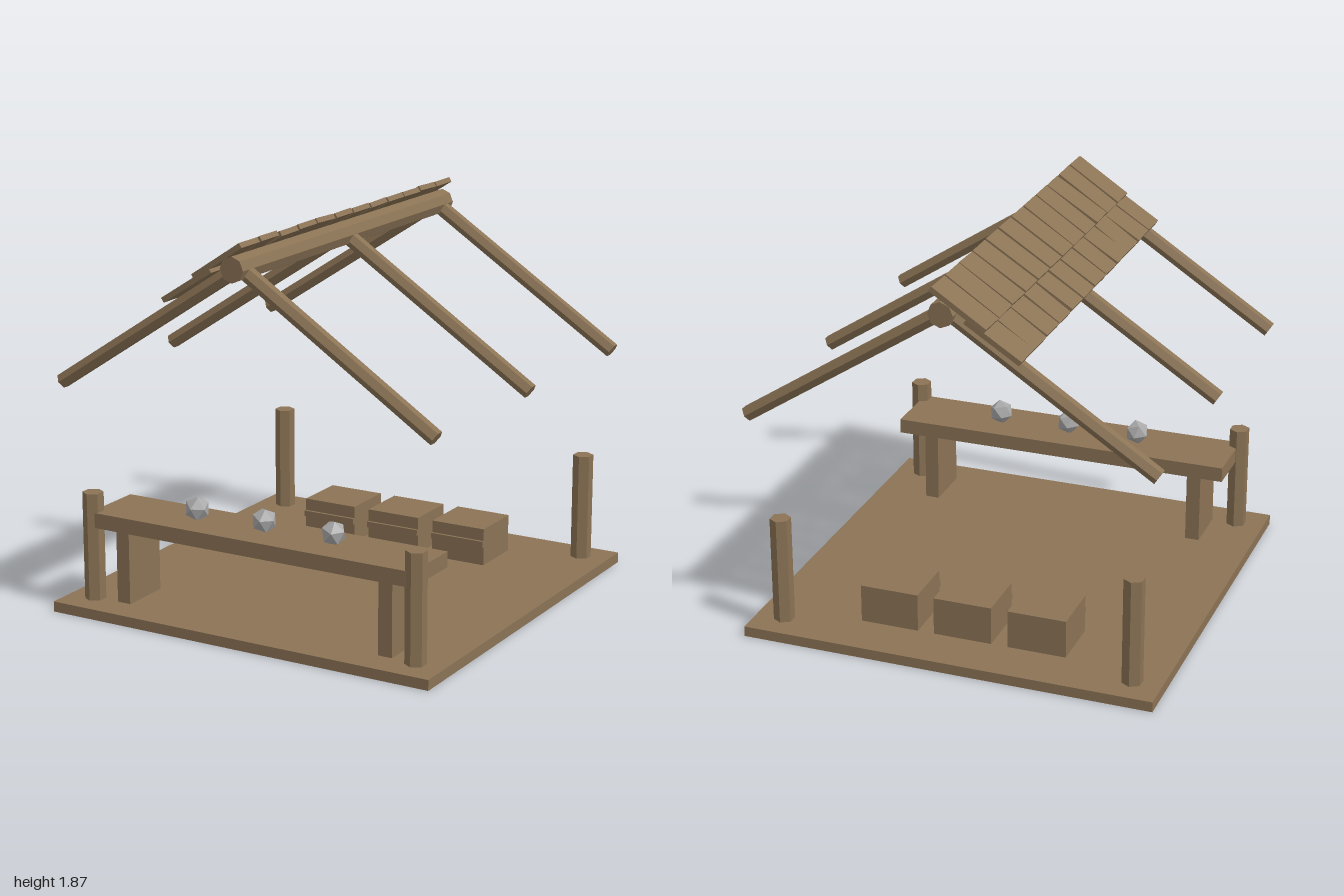
import * as THREE from 'three';

const wood = new THREE.MeshStandardMaterial({ color: 0x8b7355 });
wood.name = 'wood';
const stone = new THREE.MeshStandardMaterial({ color: 0xa9a9a9 });
stone.name = 'stone';

// Flat-shaded copy of a geometry
const facet = (g) => {
  const f = g.index ? g.toNonIndexed() : g;
  f.computeVertexNormals();
  return f;
};

function add(parent, name, geometry, x, y, z, material = wood) {
  const mesh = new THREE.Mesh(geometry, material);
  mesh.name = name;
  mesh.position.set(x, y, z);
  parent.add(mesh);
  return mesh;
}

// Repeatable jitter in -1..1
function makeJitter(seed) {
  return () => {
    seed = (seed * 16807) % 2147483647;
    return (seed / 2147483647) * 2 - 1;
  };
}

export function createModel() {
  const model = new THREE.Group();
  model.name = 'marketStall';

  // Floor and corner posts
  add(model, 'floor', new THREE.BoxGeometry(2, 0.05, 2), 0, 0.025, 0);
  const postGeo = facet(new THREE.CylinderGeometry(0.05, 0.05, 0.524, 6));
  for (const x of [-0.86, 0.86])
    for (const z of [-0.857, 0.857]) add(model, 'cornerPost', postGeo, x, 0.312, z);

  // Counter on two panel legs
  const counter = new THREE.Group();
  counter.name = 'counter';
  model.add(counter);
  add(counter, 'counterTop', new THREE.BoxGeometry(1.714, 0.073, 0.33), 0, 0.446, 0.725);
  for (const x of [-0.702, 0.702])
    add(counter, 'counterLeg', new THREE.BoxGeometry(0.07, 0.36, 0.25), x, 0.23, 0.725);

  // Gems on the counter, crates at the back
  const gemGeo = facet(new THREE.IcosahedronGeometry(0.061, 0));
  const crateGeo = new THREE.BoxGeometry(0.285, 0.185, 0.27);
  const slatGeo = new THREE.BoxGeometry(0.285, 0.03, 0.03);
  for (const x of [-0.365, 0, 0.365]) {
    const gem = add(model, 'gem', gemGeo, x, 0.534, 0.725, stone);
    gem.rotation.set(0.35, 0.4 + x * 0.5, 0.3);
    const crate = new THREE.Group();
    crate.name = 'crate';
    crate.position.set(x, 0, 0);
    model.add(crate);
    add(crate, 'crateBody', crateGeo, 0, 0.1425, -0.62);
    add(crate, 'crateSlat', slatGeo, 0, 0.16, -0.486);
  }

  // Roof frame
  const roof = new THREE.Group();
  roof.name = 'roof';
  model.add(roof);
  const ridgeY = 1.742;
  const ridge = add(roof, 'ridgeBeam',
    facet(new THREE.CylinderGeometry(0.06, 0.06, 1.95, 8)), 0, ridgeY, 0);
  ridge.rotation.x = Math.PI / 2;

  const run = 0.977, drop = 0.637;
  const slope = Math.atan2(drop, run);
  const rafterGeo = facet(new THREE.CylinderGeometry(0.0375, 0.0375, Math.hypot(run, drop), 6));
  for (const z of [-0.905, 0, 0.905])
    for (const side of [-1, 1]) {
      const rafter = add(roof, 'rafter', rafterGeo, side * run / 2, ridgeY - drop / 2, z);
      rafter.rotation.z = side * (Math.PI / 2 - slope);
    }

  // Two overlapping rows of slightly uneven shingles on one slope
  const jitter = makeJitter(77);
  const shingleGeo = new THREE.BoxGeometry(0.3, 0.025, 0.15);
  for (const [x, y] of [[-0.241, 1.648], [-0.08, 1.773]])
    for (let i = 0; i < 12; i++) {
      const shingle = add(roof, 'shingle', shingleGeo, x, y, (i - 5.5) * 0.1632);
      shingle.rotation.set(jitter() * 0.025, jitter() * 0.02, slope + jitter() * 0.02);
    }

  return model;
}
